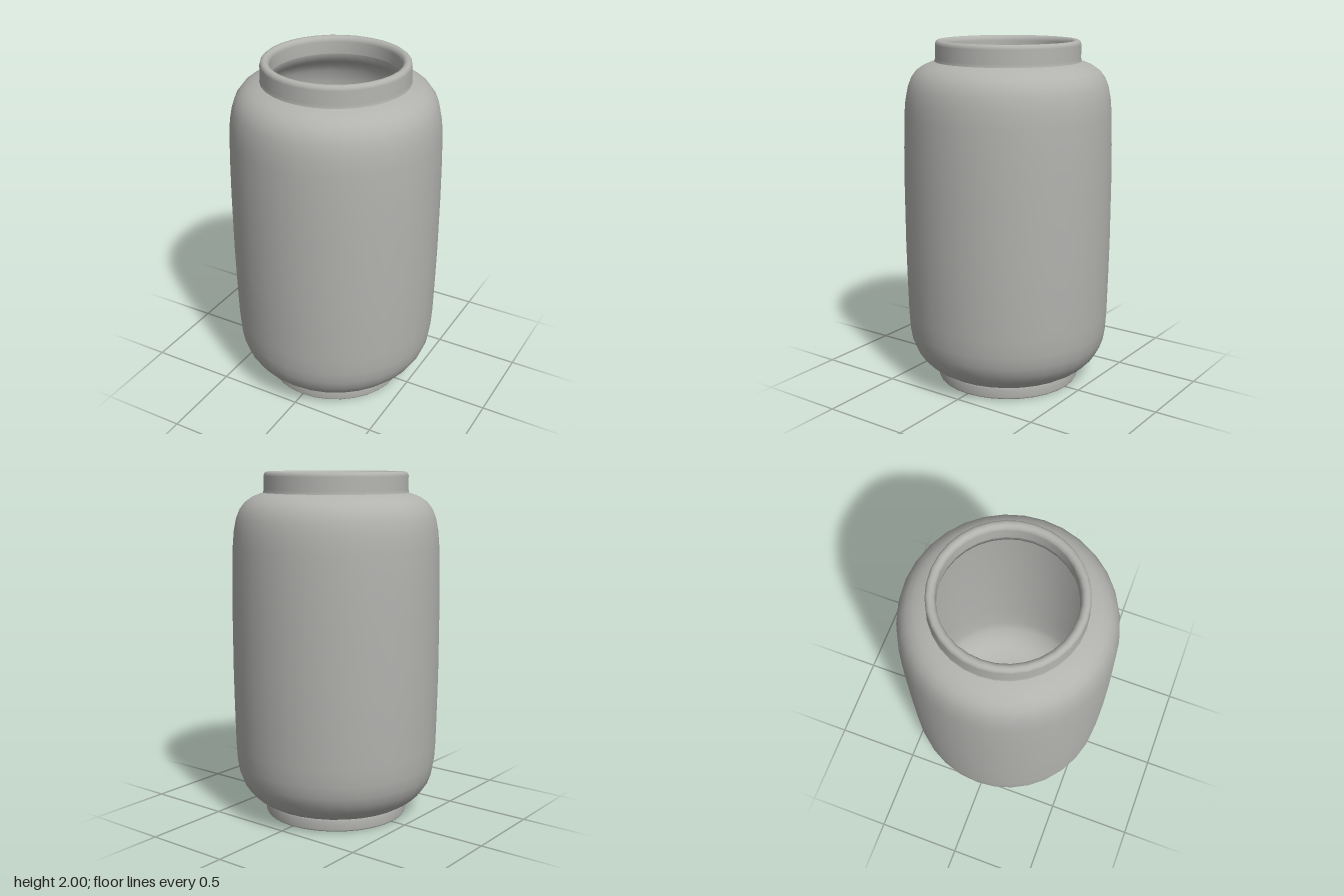
import * as THREE from 'three';

const SIDES = 32;

export function createModel() {
  const jar = new THREE.Group();
  jar.name = 'jar';
  const stoneware = new THREE.MeshStandardMaterial({ color: 0xb2b2af });
  stoneware.name = 'grey stoneware';

  // Each part is a turned profile of [radius, height]; upward profiles face outward.
  const turn = (name, profile) => {
    const points = profile.map(([r, y]) => new THREE.Vector2(r, y));
    const mesh = new THREE.Mesh(new THREE.LatheGeometry(points, SIDES), stoneware);
    mesh.name = name;
    jar.add(mesh);
  };

  // Hollow underside, domed up in the middle
  turn('underside', [
    [0, 0.085], [0.08, 0.082], [0.16, 0.068], [0.24, 0.05], [0.32, 0.042], [0.362, 0.04],
  ]);

  // Foot ring with softened edges
  turn('foot', [
    [0.362, 0.04], [0.368, 0.012], [0.376, 0.003], [0.386, 0], [0.405, 0],
    [0.414, 0.003], [0.419, 0.012], [0.419, 0.06], [0.414, 0.075],
  ]);

  // Rounded barrel body
  turn('body', [
    [0.414, 0.075], [0.44, 0.083], [0.48, 0.108], [0.52, 0.146], [0.553, 0.195],
    [0.574, 0.25], [0.586, 0.32], [0.592, 0.42], [0.597, 0.65], [0.6, 0.85],
    [0.6, 1.2], [0.597, 1.4], [0.592, 1.58], [0.584, 1.67], [0.57, 1.74],
    [0.55, 1.79], [0.52, 1.83], [0.48, 1.858], [0.44, 1.874], [0.416, 1.882],
  ]);

  // Collar with a rounded lip
  turn('neck', [
    [0.416, 1.882], [0.412, 1.9], [0.412, 1.975], [0.408, 1.99], [0.398, 1.999],
    [0.385, 2], [0.373, 1.997], [0.363, 1.985], [0.36, 1.97], [0.36, 1.9],
  ]);

  // Inner wall and domed floor
  turn('interior', [
    [0.36, 1.9], [0.37, 1.855], [0.42, 1.83], [0.48, 1.795], [0.515, 1.74], [0.535, 1.66],
    [0.547, 1.5], [0.553, 1.2], [0.553, 0.85], [0.547, 0.5], [0.538, 0.32],
    [0.52, 0.25], [0.48, 0.185], [0.43, 0.14], [0.36, 0.11], [0.3, 0.1],
    [0.24, 0.104], [0.16, 0.122], [0.08, 0.138], [0, 0.142],
  ]);

  return jar;
}
